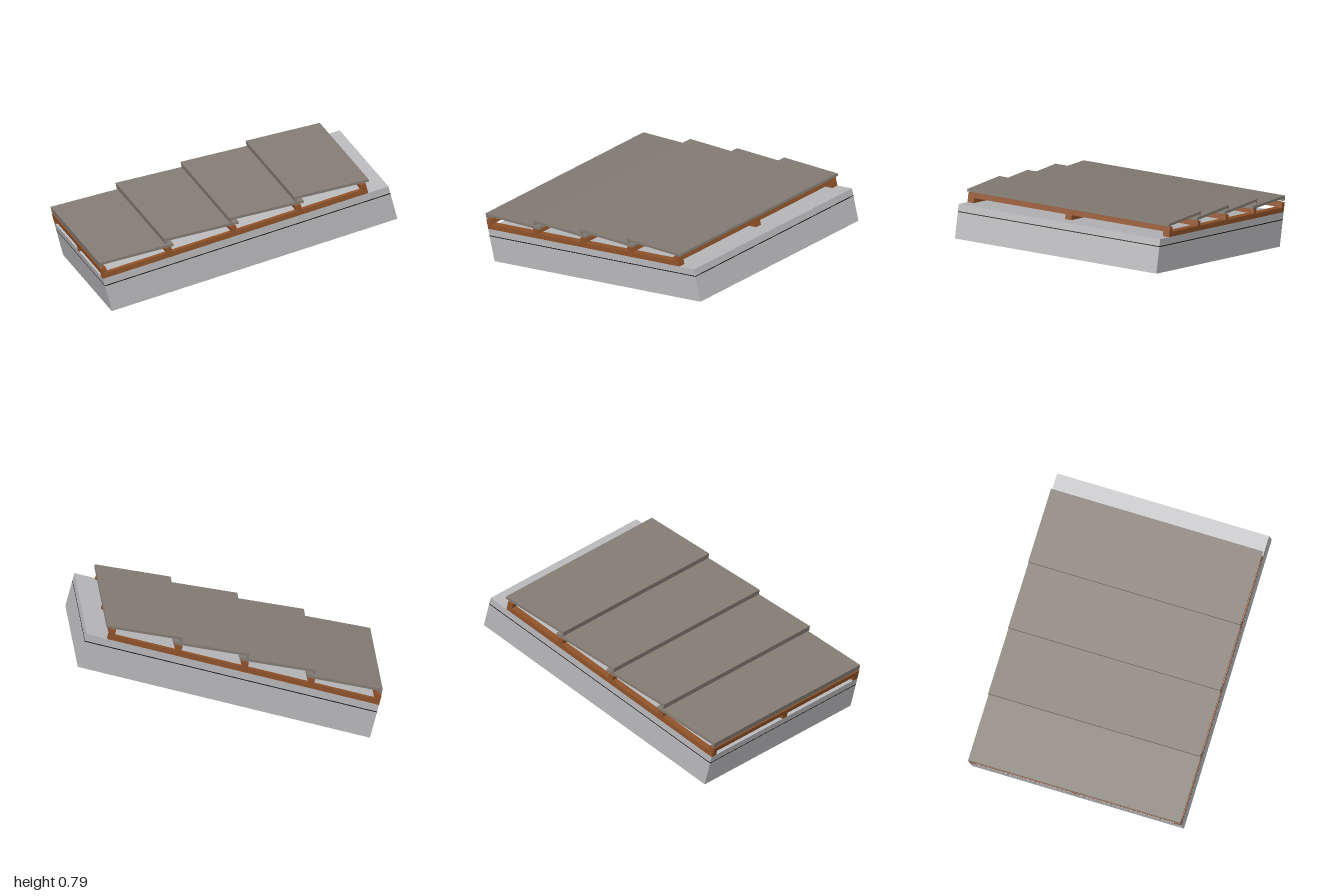
import * as THREE from 'three';

const DEPTH = 1.454;
const PITCH = THREE.MathUtils.degToRad(15);

export function createModel() {
  const mat = (name, color) => {
    const m = new THREE.MeshStandardMaterial({ color });
    m.name = name;
    return m;
  };
  const grey = mat('insulation grey', 0xb8b8bb);
  const black = mat('membrane black', 0x141414);
  const wood = mat('batten brown', 0x8f5229);
  const clay = mat('tile grey brown', 0x827b72);

  const model = new THREE.Group();
  model.name = 'pitchedRoofSection';

  // Everything is laid out flat (x up the slope, y off the slope), then pitched
  const roof = new THREE.Group();
  roof.name = 'roofLayers';
  roof.rotation.z = PITCH;
  roof.position.x = -0.914;
  model.add(roof);

  const layer = (name, material, u0, u1, v0, v1, z = 0, depth = DEPTH) => {
    const mesh = new THREE.Mesh(new THREE.BoxGeometry(u1 - u0, v1 - v0, depth), material);
    mesh.name = name;
    mesh.position.set((u0 + u1) / 2, (v0 + v1) / 2, z);
    roof.add(mesh);
  };

  // Solid base with a thin membrane between two layers
  layer('lowerInsulation', grey, 0, 1.982, 0, 0.177);
  layer('membrane', black, 0, 1.982, 0.177, 0.183);
  layer('upperInsulation', grey, 0, 1.982, 0.183, 0.23);

  // Counter battens running up the slope: front, middle and back
  const w = 0.045;
  for (const side of [-1, 0, 1]) {
    layer('counterBatten', wood, 0, 1.842, 0.23, 0.263, side * (DEPTH - w) / 2, w);
  }

  // Cross battens carrying the tiles
  for (let i = 0; i < 5; i++) {
    const u = i * 0.4505;
    layer('crossBatten', wood, u, u + 0.04, 0.263, 0.297);
  }

  // Overlapping tile courses, each with a lip turned down at its lower edge
  const tile = (u, v, drop) => {
    const len = 0.506, t = 0.017, lip = 0.036;
    const shape = new THREE.Shape([
      [0, 0], [0, -lip], [0.015, -lip], [0.015, -t], [len, -t], [len, 0],
    ].map(([x, y]) => new THREE.Vector2(x, y)));
    const geo = new THREE.ExtrudeGeometry(shape, { depth: DEPTH, bevelEnabled: false });
    geo.translate(0, 0, -DEPTH / 2);
    const mesh = new THREE.Mesh(geo, clay);
    mesh.name = 'tileCourse';
    mesh.position.set(u, v, 0);
    mesh.rotation.z = -Math.asin(drop / len);
    roof.add(mesh);
  };
  tile(0.005, 0.341, 0.028);
  for (let i = 1; i < 4; i++) tile(0.009 + i * 0.4515, 0.36, 0.04);

  return model;
}
